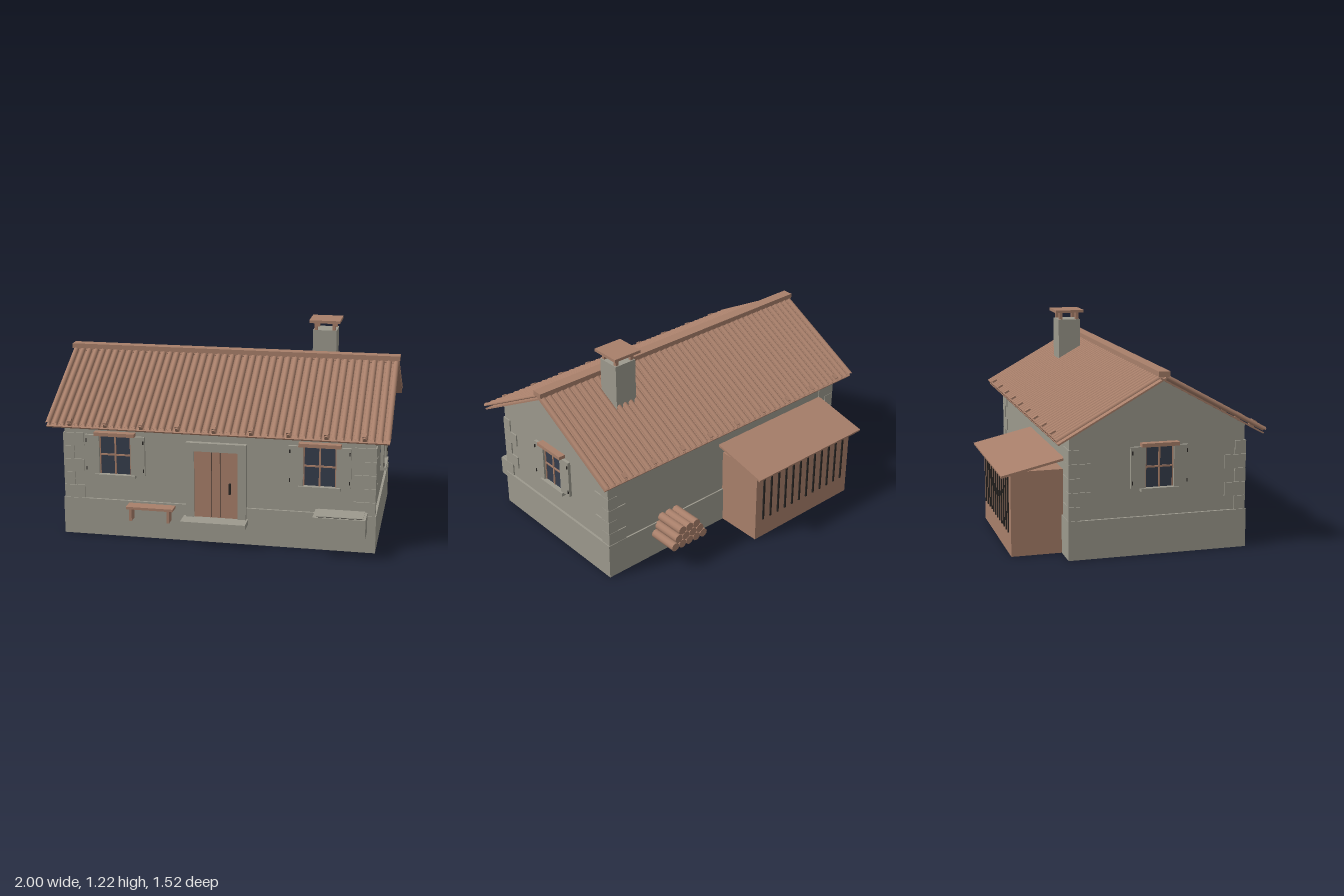
import * as THREE from 'three';
import { mergeGeometries } from 'three/addons/utils/BufferGeometryUtils.js';

const mat = (name, color, side = THREE.FrontSide) => {
  const m = new THREE.MeshStandardMaterial({ color, side });
  m.name = name;
  return m;
};

export function createModel() {
  const stone = mat('stone', 0x9c998d);
  const wood = mat('terracottaBrown', 0xa87f6a, THREE.DoubleSide);
  const glass = mat('windowGlass', 0x363d4c);
  const dark = mat('darkIron', 0x2a2725);

  const model = new THREE.Group();
  model.name = 'stoneCottage';

  const add = (parent, name, geo, material) => {
    const m = new THREE.Mesh(geo, material);
    m.name = name;
    parent.add(m);
    return m;
  };
  // Box given by its minimum and maximum on each axis
  const box = (parent, name, material, x0, x1, y0, y1, z0, z1) => {
    const g = new THREE.BoxGeometry(x1 - x0, y1 - y0, z1 - z0);
    g.translate((x0 + x1) / 2, (y0 + y1) / 2, (z0 + z1) / 2);
    return add(parent, name, g, material);
  };
  const group = (parent, name) => {
    const g = new THREE.Group();
    g.name = name;
    parent.add(g);
    return g;
  };

  const ZC = 0.105, ZF = 0.613, ZB = -0.403, XW = 0.908;

  // Plinth and gabled walls
  box(model, 'plinth', stone, -0.922, 0.922, 0, 0.222, -0.412, 0.626);
  const gable = new THREE.Shape([
    [ZF, 0.2], [ZF, 0.715], [ZC, 0.998], [ZB, 0.715], [ZB, 0.2],
  ].map(([z, y]) => new THREE.Vector2(-z, y)));
  const walls = new THREE.ExtrudeGeometry(gable, { depth: XW * 2, bevelEnabled: false });
  walls.translate(0, 0, -XW).rotateY(Math.PI / 2);
  add(model, 'walls', walls, stone);

  // Corner stones, long and short sides alternating
  const quoins = group(model, 'cornerStones');
  for (const sx of [-1, 1]) for (const front of [true, false]) for (let i = 0; i < 5; i++) {
    const lx = i % 2 ? 0.065 : 0.125, lz = i % 2 ? 0.125 : 0.065;
    const y = 0.222 + i * 0.08, xo = XW + 0.008;
    const xa = sx * xo, xb = sx * (xo - lx);
    const z0 = front ? ZF + 0.008 - lz : ZB - 0.006;
    box(quoins, 'cornerStone', stone, Math.min(xa, xb), Math.max(xa, xb), y, y + 0.078, z0, z0 + lz);
  }

  // Roof slopes: board deck, barrel tiles and rafter ends
  const W = 2, N = 47, pitch = W / N, L = 0.692, slope = Math.atan2(0.335, 0.605);
  const barrel = (r, start) => new THREE.CylinderGeometry(r, r, L, 8, 1, true, start, Math.PI).rotateX(Math.PI / 2);
  for (const s of [1, -1]) {
    const turn = group(model, s > 0 ? 'frontRoof' : 'backRoof');
    turn.position.set(0, 1.037, ZC);
    turn.rotation.y = s > 0 ? 0 : Math.PI;
    const roof = group(turn, 'roofSlope');
    roof.rotation.x = slope;
    box(roof, 'roofDeck', wood, -0.99, 0.99, -0.04, -0.031, 0, L);
    const tiles = [];
    for (let i = 0; i < N; i++) {
      const x = -W / 2 + (i + 0.5) * pitch;
      tiles.push(barrel(0.016, Math.PI / 2).translate(x, -0.016, L / 2));
      if (i < N - 1) tiles.push(barrel(0.012, -Math.PI / 2).translate(x + pitch / 2, -0.014, L / 2));
    }
    add(roof, 'barrelTiles', mergeGeometries(tiles), wood);
    for (let i = -4; i <= 4; i++) {
      box(roof, 'rafterEnd', wood, i * 0.2125 - 0.011, i * 0.2125 + 0.011, -0.035, 0.006, L - 0.04, L - 0.008);
    }
  }
  box(model, 'ridgeCap', wood, -1, 1, 1.015, 1.045, ZC - 0.033, ZC + 0.033);

  // Chimney with a slab cap on four posts
  const chimney = group(model, 'chimney');
  box(chimney, 'chimneyStack', stone, 0.47, 0.612, 0.8, 1.16, -0.123, 0.018);
  for (const x of [0.487, 0.595]) for (const z of [-0.106, 0.001]) {
    box(chimney, 'chimneyPost', wood, x - 0.01, x + 0.01, 1.16, 1.206, z - 0.01, z + 0.01);
  }
  box(chimney, 'chimneyCap', wood, 0.449, 0.634, 1.205, 1.222, -0.146, 0.039);

  // Shuttered window facing +z, centred on its own origin
  const addWindow = (name, w, x, y, z, turn) => {
    const win = group(model, name);
    win.position.set(x, y, z);
    win.rotation.y = turn;
    const a = w / 2, h = 0.117, bar = 0.005;
    box(win, 'windowPane', glass, -a, a, -h, h, 0, 0.006);
    box(win, 'verticalBar', wood, -bar, bar, -h, h, 0, 0.012);
    box(win, 'crossBar', wood, -a, a, -bar, bar, 0, 0.012);
    box(win, 'windowLintel', wood, -a - 0.027, a + 0.027, h, h + 0.021, 0, 0.042);
    box(win, 'windowSill', stone, -a - 0.027, a + 0.027, -h - 0.02, -h, 0, 0.036);
    for (const s of [-1, 1]) {
      box(win, 'frameSide', wood, s * (a - 0.003) - 0.003, s * (a - 0.003) + 0.003, -h, h, 0, 0.012);
      const sh = group(win, 'shutter');
      sh.position.x = s * (a + 0.043);
      box(sh, 'shutterBoard', stone, -0.042, 0.042, -h, h, 0.006, 0.024);
      for (const v of [-0.085, 0.085]) {
        box(sh, 'shutterHinge', dark, s * 0.034 - 0.003, s * 0.034 + 0.003, v - 0.01, v + 0.01, 0.02, 0.029);
      }
    }
  };
  addWindow('frontWindowRight', 0.187, -0.6, 0.5, ZF, 0);
  addWindow('frontWindowLeft', 0.187, 0.597, 0.5, ZF, 0);
  addWindow('sideWindowLeft', 0.163, XW, 0.503, 0.107, Math.PI / 2);
  addWindow('sideWindowRight', 0.163, -XW, 0.503, 0.107, -Math.PI / 2);

  // Door with stone surround and step
  const door = group(model, 'door');
  for (const s of [-1, 1]) {
    box(door, 'doorJamb', stone, s * 0.152 - 0.024, s * 0.152 + 0.024, 0.155, 0.605, 0.6, 0.645);
  }
  box(door, 'doorLintel', stone, -0.128, 0.128, 0.555, 0.605, 0.6, 0.645);
  box(door, 'doorGaps', dark, -0.128, 0.128, 0.155, 0.555, 0.6, 0.628);
  for (const [x0, x1] of [[-0.128, -0.028], [-0.024, 0.022], [0.026, 0.128]]) {
    box(door, 'doorPlank', wood, x0, x1, 0.155, 0.555, 0.6, 0.634);
  }
  box(door, 'doorHandle', dark, 0.077, 0.087, 0.305, 0.37, 0.63, 0.65);
  box(door, 'doorStep', stone, -0.193, 0.187, 0.125, 0.156, 0.6, 0.735);

  // Bench
  const bench = group(model, 'bench');
  box(bench, 'benchSeat', wood, -0.522, -0.243, 0.198, 0.213, 0.63, 0.705);
  for (const x of [-0.498, -0.274]) {
    box(bench, 'benchLeg', wood, x - 0.008, x + 0.008, 0.125, 0.2, 0.64, 0.697);
  }

  // Stone trough with a thin lid
  const trough = group(model, 'trough');
  box(trough, 'troughBody', stone, 0.575, 0.873, 0.125, 0.241, 0.6, 0.757);
  box(trough, 'troughGap', dark, 0.6, 0.855, 0.241, 0.245, 0.63, 0.745);
  box(trough, 'troughLid', stone, 0.595, 0.86, 0.245, 0.249, 0.627, 0.75);

  // Lean-to shed with dark slots in its back wall
  const shed = group(model, 'shed');
  box(shed, 'shedBody', wood, -0.765, 0.035, 0, 0.483, -0.7, -0.4);
  for (let i = 0; i < 12; i++) {
    const x = -0.705 + i * 0.0618;
    box(shed, 'shedSlot', dark, x - 0.006, x + 0.006, 0.125, 0.45, -0.707, -0.699);
  }
  const shedRoof = add(shed, 'shedRoof', new THREE.BoxGeometry(0.87, 0.013, 0.37), wood);
  shedRoof.position.set(-0.365, 0.507, -0.577);
  shedRoof.rotation.x = -Math.atan2(0.08, 0.35);

  // Stacked logs
  const logs = group(model, 'logPile');
  const r = 0.027;
  for (let row = 0; row < 3; row++) for (let i = 0; i < 5 - row; i++) {
    const log = add(logs, 'log', new THREE.CylinderGeometry(r, r, 0.19, 12).rotateX(Math.PI / 2), wood);
    log.position.set(0.47 + (i - (4 - row) / 2) * r * 2, 0.125 + r + row * r * 1.73, -0.5);
  }

  return model;
}
